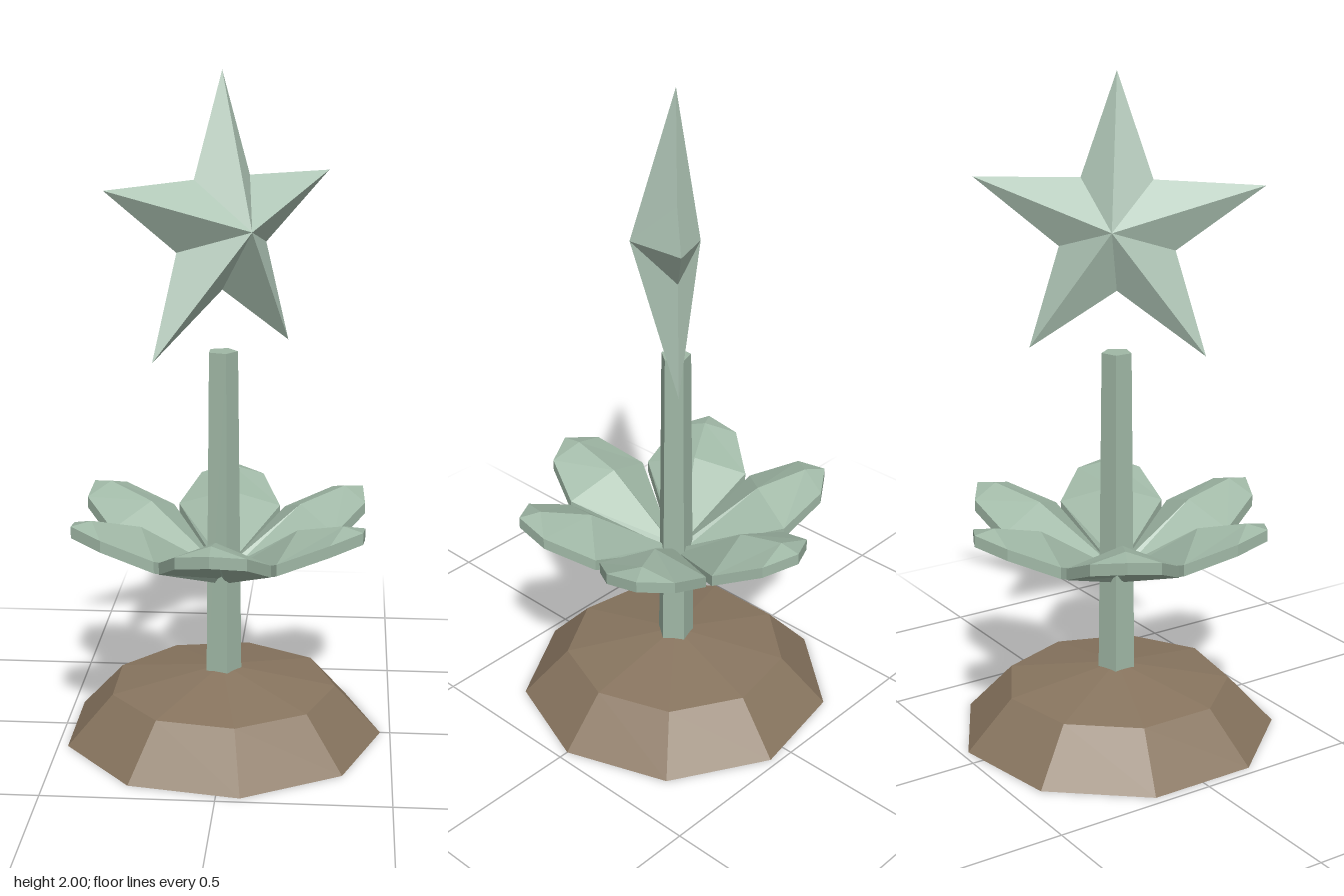
import * as THREE from 'three';

const CENTRE_X = -0.015;

function material(name, color) {
  const m = new THREE.MeshStandardMaterial({ color, flatShading: true });
  m.name = name;
  return m;
}

function part(name, geometry, mat) {
  const mesh = new THREE.Mesh(geometry, mat);
  mesh.name = name;
  return mesh;
}

function faceted(positions, index) {
  const g = new THREE.BufferGeometry();
  g.setAttribute('position', new THREE.Float32BufferAttribute(positions, 3));
  g.setIndex(index);
  const flat = g.toNonIndexed();
  flat.computeVertexNormals();
  return flat;
}

// Ridged leaf growing along +z: a loop of six points at each station
function leafGeometry() {
  const thickness = 0.035;
  // half width, edge z, edge y, ridge z, ridge y
  const stations = [
    [0.012, 0.025, 0.515, 0.025, 0.53],
    [0.16, 0.295, 0.632, 0.265, 0.687],
    [0.1, 0.435, 0.697, 0.42, 0.727],
    [0, 0.485, 0.718, 0.485, 0.718],
  ];
  const positions = [];
  const index = [];
  for (const [w, ez, ey, rz, ry] of stations) {
    positions.push(-w, ey, ez, 0, ry, rz, w, ey, ez);
    positions.push(w, ey - thickness, ez, 0, ry - thickness, rz, -w, ey - thickness, ez);
  }
  for (let s = 0; s < stations.length - 1; s++) {
    for (let k = 0; k < 6; k++) {
      const a = s * 6 + k;
      const b = s * 6 + ((k + 1) % 6);
      index.push(a, a + 6, b + 6, a, b + 6, b);
    }
  }
  return faceted(positions, index);
}

// Five-pointed star with a raised centre on both sides
function starGeometry(outer, inner, front, back) {
  const positions = [0, 0, front, 0, 0, -back];
  const index = [];
  for (let i = 0; i < 10; i++) {
    const r = i % 2 ? inner : outer;
    const a = Math.PI / 2 + (i * Math.PI) / 5;
    positions.push(r * Math.cos(a), r * Math.sin(a), 0);
    const p = 2 + i;
    const q = 2 + ((i + 1) % 10);
    index.push(0, p, q, 1, q, p);
  }
  return faceted(positions, index);
}

export function createModel() {
  const model = new THREE.Group();
  model.name = 'starPlant';
  const soil = material('soilBrown', 0x88755f);
  const green = material('leafGreen', 0xa0b8a6);
  const pale = material('starGreen', 0xb4cbbb);

  const plant = new THREE.Group();
  plant.name = 'plant';
  plant.position.x = CENTRE_X;
  model.add(plant);

  // Nine-sided mound of soil
  const profile = [[0, 0], [0.485, 0], [0.345, 0.15], [0, 0.212]]
    .map(([x, y]) => new THREE.Vector2(x, y));
  plant.add(part('soilMound', new THREE.LatheGeometry(profile, 9, Math.PI / 2), soil));

  // Five-sided tapering stem
  const stem = part('stem',
    new THREE.CylinderGeometry(0.046, 0.058, 1.04, 5, 1, false, Math.PI / 2), green);
  stem.position.y = 0.67;
  plant.add(stem);

  // Ring of six leaves
  const leafShape = leafGeometry();
  const leaves = new THREE.Group();
  leaves.name = 'leaves';
  for (let i = 0; i < 6; i++) {
    const leaf = part('leaf', leafShape, green);
    leaf.rotation.y = (i * Math.PI) / 3;
    leaves.add(leaf);
  }
  plant.add(leaves);

  // Star floating above the stem, turned to the corner
  const star = part('star', starGeometry(0.448, 0.18, 0.13, 0.07), pale);
  star.position.y = 1.552;
  star.rotation.y = Math.PI / 4;
  plant.add(star);

  return model;
}
